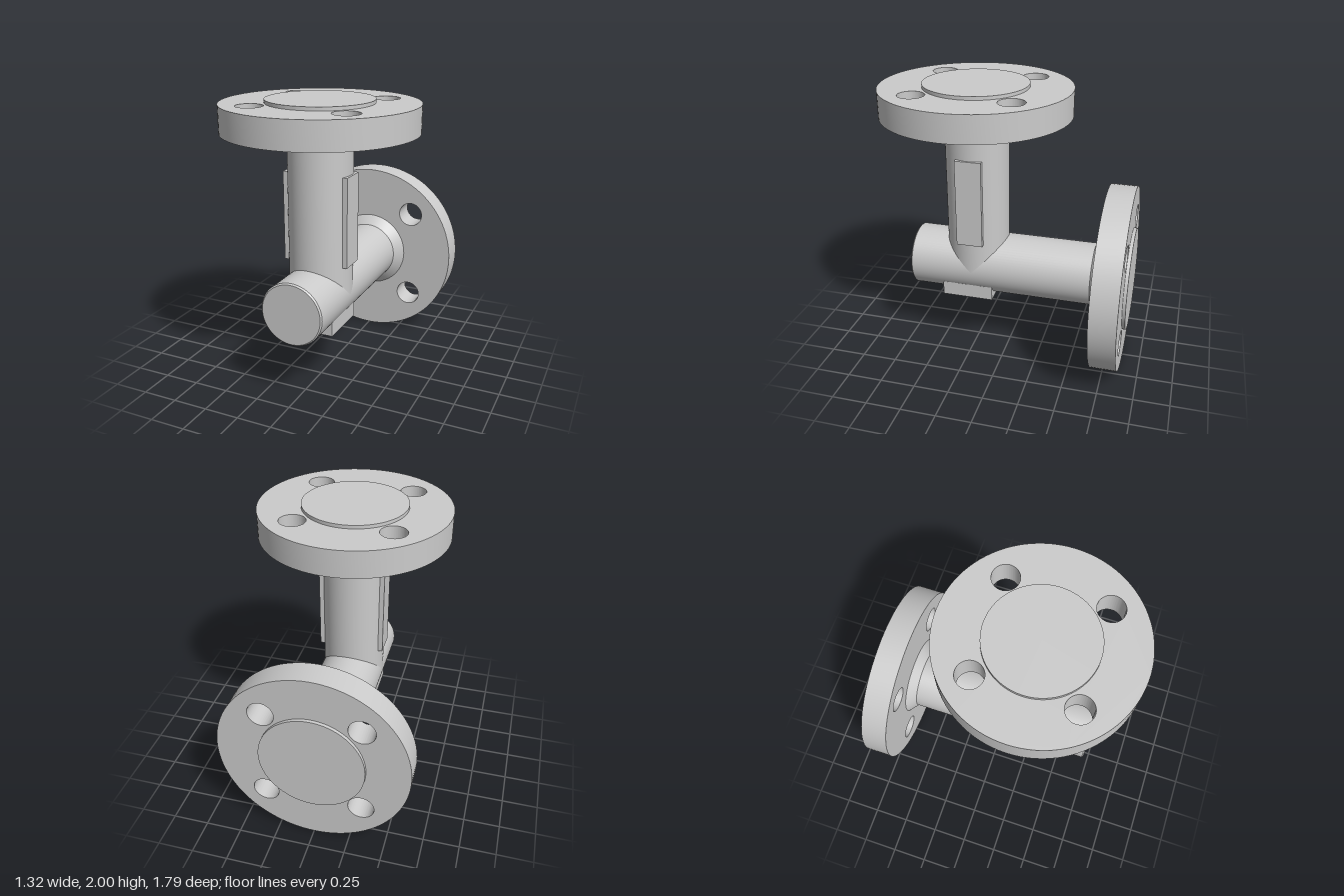
import * as THREE from 'three';
import { toCreasedNormals } from 'three/addons/utils/BufferGeometryUtils.js';

const PIPE_R = 0.222, FLANGE_R = 0.658, FACE_R = 0.362;
const BOLT_OFFSET = 0.332, BOLT_R = 0.09;
const AXIS_Y = 0.66, AXIS_Z = 0.235; // where the two pipe axes cross

const material = new THREE.MeshStandardMaterial({ color: 0xcccccc });

function part(name, geometry) {
  const mesh = new THREE.Mesh(toCreasedNormals(geometry, 0.5), material);
  mesh.name = name;
  return mesh;
}

// Solid of revolution about y from [radius, height] pairs, bottom to top
function turned(name, profile) {
  return part(name, new THREE.LatheGeometry(profile.map(([r, y]) => new THREE.Vector2(r, y)), 72));
}

// Disc with four bolt holes, its lower face at height y
function flangeDisc(y, thickness) {
  const shape = new THREE.Shape().absarc(0, 0, FLANGE_R, 0, Math.PI * 2, false);
  for (const sx of [-1, 1]) {
    for (const sy of [-1, 1]) {
      shape.holes.push(new THREE.Path().absarc(sx * BOLT_OFFSET, sy * BOLT_OFFSET, BOLT_R, 0, Math.PI * 2, true));
    }
  }
  const geometry = new THREE.ExtrudeGeometry(shape, { depth: thickness, bevelEnabled: false, curveSegments: 48 });
  geometry.rotateX(-Math.PI / 2).translate(0, y, 0);
  return part('flangeDisc', geometry);
}

// Pipe along +y with a weld neck, bolted flange and raised sealing face
function flangedArm(name, startProfile, flangeY) {
  const arm = new THREE.Group();
  arm.name = name;
  const thickness = 0.187, top = flangeY + thickness;
  arm.add(
    turned('pipeWithNeck', [...startProfile, [PIPE_R, flangeY - 0.06], [0.288, flangeY], [0, flangeY]]),
    flangeDisc(flangeY, thickness),
    turned('raisedFace', [[0, top - 0.01], [FACE_R, top - 0.01], [FACE_R, top + 0.024], [0, top + 0.024]])
  );
  arm.position.set(0, AXIS_Y, AXIS_Z);
  return arm;
}

function pad(name, size, position) {
  const mesh = part(name, new THREE.BoxGeometry(...size));
  mesh.position.set(...position);
  return mesh;
}

export function createModel() {
  const model = new THREE.Group();
  model.name = 'flangedAngleFitting';

  // Upright arm starts inside the horizontal one
  model.add(flangedArm('uprightArm', [[0, 0], [PIPE_R, 0]], 1.129));

  // Horizontal arm has a closed, chamfered front end
  const horizontal = flangedArm('horizontalArm', [[0, -0.46], [0.212, -0.46], [PIPE_R, -0.45]], 0.917);
  horizontal.rotation.x = -Math.PI / 2;
  model.add(horizontal);

  // Flat pads on both sides of the upright pipe
  for (const [side, name] of [[1, 'leftPad'], [-1, 'rightPad']]) {
    model.add(pad(name, [0.055, 0.625, 0.185], [side * 0.2075, 1.2025, AXIS_Z]));
  }

  // Foot under the horizontal pipe
  model.add(pad('foot', [0.374, 0.103, 0.37], [0, 0.4885, 0.275]));
  return model;
}
